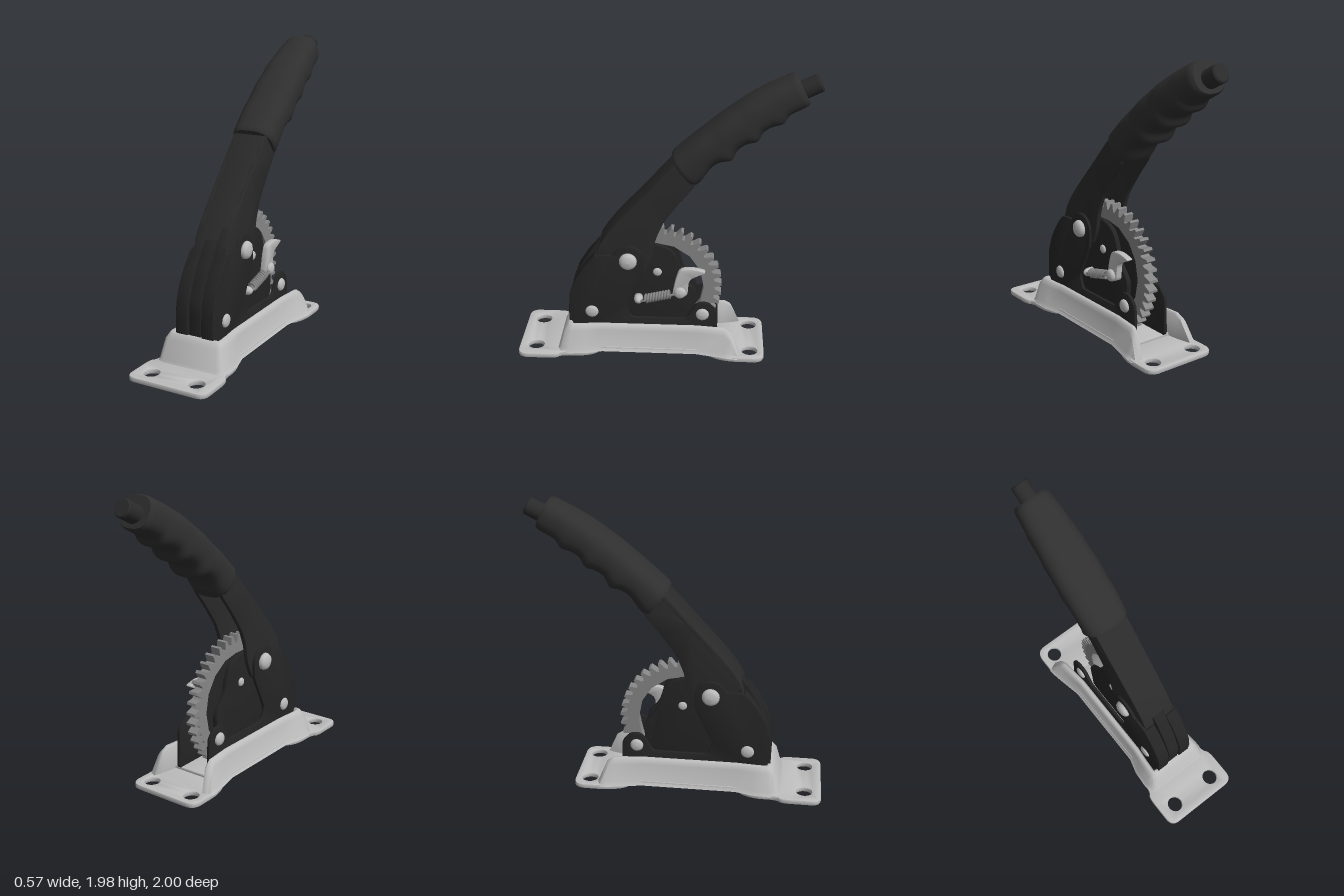
import * as THREE from 'three';
import { toCreasedNormals } from 'three/addons/utils/BufferGeometryUtils.js';

const mat = (name, color, side = THREE.FrontSide) => {
  const m = new THREE.MeshStandardMaterial({ color, side });
  m.name = name;
  return m;
};

// Closed outline with every corner rounded by up to r
function rounded(pts, r) {
  const s = new THREE.Shape(), n = pts.length;
  const toward = (a, b) => {
    const d = Math.hypot(b[0] - a[0], b[1] - a[1]), k = Math.min(r / d, 0.5);
    return [a[0] + (b[0] - a[0]) * k, a[1] + (b[1] - a[1]) * k];
  };
  pts.forEach((p, i) => {
    const a = toward(p, pts[(i + n - 1) % n]), b = toward(p, pts[(i + 1) % n]);
    if (i) s.lineTo(...a); else s.moveTo(...a);
    s.quadraticCurveTo(...p, ...b);
  });
  s.closePath();
  return s;
}

// Strip of even thickness on one side of an open path
function band(pts, t) {
  const inner = pts.map((p, i) => {
    const a = pts[Math.max(i - 1, 0)], b = pts[Math.min(i + 1, pts.length - 1)];
    const d = Math.hypot(b[0] - a[0], b[1] - a[1]);
    return [p[0] - (b[1] - a[1]) / d * t, p[1] + (b[0] - a[0]) / d * t];
  });
  return new THREE.Shape([...pts, ...inner.reverse()].map(p => new THREE.Vector2(...p)));
}

// Side profile drawn as (z, y), extruded from x0 to x1
function slab(shape, x0, x1, bevel = 0.005) {
  const g = new THREE.ExtrudeGeometry(shape, {
    depth: x1 - x0 - 2 * bevel, curveSegments: 8, bevelEnabled: bevel > 0,
    bevelSize: bevel, bevelOffset: -bevel, bevelThickness: bevel, bevelSegments: 2,
  });
  g.rotateY(-Math.PI / 2).translate(x1 - bevel, 0, 0);
  return toCreasedNormals(g, 0.6);
}

// Closed skin over rings of points, with fan caps; wound outward by its volume
function loft(rings, crease) {
  const n = rings[0].length, pos = rings.flat(), idx = [];
  for (let i = 0; i < rings.length - 1; i++) for (let j = 0; j < n; j++) {
    const a = i * n + j, b = i * n + (j + 1) % n;
    idx.push([a, b, a + n], [b, b + n, a + n]);
  }
  const last = (rings.length - 1) * n;
  for (let j = 1; j < n - 1; j++) idx.push([0, j + 1, j], [last, last + j, last + j + 1]);
  let volume = 0;
  for (const [a, b, c] of idx) volume += pos[a].dot(pos[b].clone().cross(pos[c]));
  const g = new THREE.BufferGeometry().setFromPoints(pos);
  g.setIndex((volume < 0 ? idx.map(t => [t[0], t[2], t[1]]) : idx).flat());
  return toCreasedNormals(g, crease);
}

export function createModel() {
  const root = new THREE.Group();
  root.name = 'handBrakeLever';
  const sheet = mat('zincSheet', 0xbdbdbd, THREE.DoubleSide);
  const rivet = mat('brightRivet', 0xbcbcbc);
  const steel = mat('gearSteel', 0x868686);
  const black = mat('blackBracket', 0x242424);
  const paint = mat('blackLever', 0x2a2a2a);
  const rubber = mat('blackRubber', 0x2f2f2f);
  const add = (name, g, m) => {
    const mesh = new THREE.Mesh(g, m);
    mesh.name = name;
    root.add(mesh);
    return mesh;
  };

  // Mounting flanges and tray floor
  function plate(name, pts, r, top, thick, holeZ) {
    const s = rounded(pts, r);
    if (holeZ !== undefined) for (const x of [-0.165, 0.165])
      s.holes.push(new THREE.Path().absellipse(x, holeZ, 0.05, 0.054, 0, Math.PI * 2));
    const g = new THREE.ExtrudeGeometry(s, {
      depth: thick - 0.016, bevelSize: 0.008, bevelOffset: -0.008,
      bevelThickness: 0.008, bevelSegments: 2, curveSegments: 12,
    });
    g.rotateX(Math.PI / 2).translate(0, top - 0.008, 0);
    add(name, toCreasedNormals(g, 0.7), sheet);
  }
  const mirror = half => [...half, ...half.map(([x, z]) => [-x, z]).reverse()];
  plate('frontFlange', mirror([[0.2, 0.43], [0.25, 0.54], [0.25, 0.7], [0.285, 0.73], [0.285, 1]]), 0.07, 0.035, 0.035, 0.885);
  plate('rearFlange', mirror([[0.265, -0.7], [0.265, -0.44], [0.21, -0.3]]), 0.08, 0.035, 0.035, -0.6);
  plate('trayFloor', mirror([[0.205, -0.36], [0.205, 0.5]]), 0.02, 0.055, 0.025);

  // Tray rim: a flared wall swept around a U that is open at the rear
  const half = [ // bottom x, bottom z, top x, top z, top y
    [0.255, -0.52, 0.24, -0.52, 0.04], [0.25, -0.475, 0.215, -0.46, 0.19], [0.24, -0.42, 0.205, -0.42, 0.22],
    [0.2, -0.23, 0.185, -0.23, 0.22], [0.2, 0.42, 0.185, 0.42, 0.22], [0.23, 0.53, 0.195, 0.53, 0.22],
    [0.238, 0.65, 0.2, 0.62, 0.22], [0.228, 0.7, 0.19, 0.65, 0.22], [0.2, 0.715, 0.165, 0.662, 0.22],
  ];
  const stations = [...half, ...half.map(([a, b, c, d, e]) => [-a, b, -c, d, e]).reverse()];
  add('trayWall', loft(stations.map(([bx, bz, tx, tz, ty], i) => {
    const p = stations[Math.max(i - 1, 0)], q = stations[Math.min(i + 1, stations.length - 1)];
    const dx = q[2] - p[2], dz = q[3] - p[3], d = Math.hypot(dx, dz);
    const nx = dz / d, nz = -dx / d; // outward
    const at = (k, out, y) => new THREE.Vector3(tx + (bx - tx) * k + nx * out, y, tz + (bz - tz) * k + nz * out);
    return [at(1, 0.018, 0.025), at(1, 0, 0.025 + ty * 0.12), at(0.35, 0, ty * 0.82), at(0, -0.003, ty * 0.95),
      at(0, -0.014, ty), at(0, -0.03, ty), at(0, -0.04, ty * 0.93), at(0.3, -0.04, 0.025)];
  }), 0.9), sheet);

  // Ratchet ring with slanted teeth
  const gear = new THREE.Shape(), teeth = 40;
  for (let i = 0; i < teeth; i++) [[0, 0.405], [0.25, 0.412], [0.55, 0.458], [0.8, 0.458]].forEach(([k, r], j) => {
    const a = (i + k) / teeth * Math.PI * 2;
    gear[i + j ? 'lineTo' : 'moveTo'](0.06 + Math.cos(a) * r, 0.455 + Math.sin(a) * r);
  });
  gear.closePath();
  gear.holes.push(new THREE.Path().absarc(0.06, 0.455, 0.335, 0, Math.PI * 2));
  add('ratchetRing', slab(gear, -0.035, 0.035, 0), steel);

  // Central cable guide between the brackets
  add('cableGuide', slab(rounded([[0.64, 0.05], [0.64, 0.42], [0.57, 0.6], [0.47, 0.76], [0.4, 0.83], [0.28, 0.76], [0.45, 0.5], [0.5, 0.05]], 0.05), -0.042, 0.042), black);

  // Dome-headed fastener pointing outward along x
  const stud = (name, side, z, y, r, x0, x1) => {
    const h = x1 - x0, p = [[0, 0], [r, 0], [r, h * 0.4], [r * 0.88, h * 0.7], [r * 0.55, h * 0.93], [0, h]];
    const g = new THREE.LatheGeometry(p.map(v => new THREE.Vector2(...v)), 20);
    g.rotateZ(-side * Math.PI / 2).translate(side * x0, y, z);
    add(name, g, rivet);
  };

  const leverFront = [[0.46, 0.7], [0.43, 0.8], [0.38, 0.88], [0.3, 0.98], [0.1, 1.2], [-0.05, 1.37], [-0.12, 1.43]];
  const bracketFront = [[0.645, 0.05], [0.65, 0.3], [0.64, 0.43], [0.6, 0.54], [0.53, 0.65], [0.46, 0.73]];
  const boss = [];
  for (let i = 0; i <= 8; i++) {
    const a = 0.3 + i / 8 * 3.0;
    boss.push([0.235 + Math.cos(a) * 0.11, 0.7 + Math.sin(a) * 0.11]);
  }
  for (const s of [-1, 1]) {
    const pair = (name, shape, x0, x1, m) => add(name, slab(shape, s > 0 ? x0 : -x1, s > 0 ? x1 : -x0), m);
    // Bracket cheek with its pivot boss and rear ear
    pair('bracketCheek', rounded([...bracketFront, [0.38, 0.74], ...boss, [0.13, 0.6], [0.25, 0.35], [0.22, 0.26],
      [-0.16, 0.26], [-0.2, 0.34], [-0.24, 0.39], [-0.31, 0.39], [-0.37, 0.33], [-0.38, 0.05]], 0.03), 0.115, 0.138, black);
    pair('bracketFrontFold', band(bracketFront, 0.035), 0.05, 0.135, black);
    // Recessed sector plate
    pair('sectorPlate', rounded([[0.45, 0.1], [0.45, 0.7], [0.2, 0.8], [0.02, 0.8], [-0.07, 0.75], [-0.11, 0.66],
      [-0.13, 0.56], [-0.23, 0.44], [-0.2, 0.1]], 0.05), 0.05, 0.085, black);
    // Lever cheek
    pair('leverCheek', rounded([...leverFront, [-0.22, 1.27], [-0.1, 1.12], [0, 0.98], [0.05, 0.86], [0.075, 0.72],
      [0.13, 0.6], [0.24, 0.56], [0.4, 0.62]], 0.04), 0.09, 0.12, paint);
    pair('leverFork', band(leverFront.slice(0, 3), 0.03), 0.045, 0.12, paint);
    stud('pivotRivet', s, 0.235, 0.7, 0.06, 0.13, 0.178);
    stud('frontRivet', s, 0.49, 0.3, 0.045, 0.13, 0.158);
    stud('rearRivet', s, -0.27, 0.3, 0.045, 0.13, 0.162);
    stud('sectorRivet', s, 0.04, 0.595, 0.03, 0.08, 0.1);
  }
  add('leverWeb', slab(band(leverFront.slice(1), 0.035), -0.12, 0.12, 0.01), paint);
  const pin = new THREE.CylinderGeometry(0.04, 0.04, 0.26, 16).rotateZ(Math.PI / 2);
  add('pivotPin', pin.translate(0, 0.7, 0.235), rivet);

  // Pawl, spring and spring pins on the left side
  add('pawl', slab(rounded([[-0.06, 0.43], [-0.085, 0.56], [-0.11, 0.635], [-0.2, 0.645], [-0.3, 0.62], [-0.23, 0.59],
    [-0.175, 0.56], [-0.165, 0.43]], 0.035), 0.085, 0.13), rivet);
  stud('pawlPin', 1, -0.115, 0.465, 0.042, 0.125, 0.16);
  stud('springPin', 1, 0.17, 0.395, 0.03, 0.085, 0.155);
  const coil = [], turns = 9;
  for (let i = 0; i <= turns * 10; i++) {
    const t = i / (turns * 10), a = t * turns * Math.PI * 2;
    coil.push(new THREE.Vector3(0.125 + Math.cos(a) * 0.026, 0.403 + t * 0.044 + Math.sin(a) * 0.026, 0.125 - t * 0.175));
  }
  coil.unshift(new THREE.Vector3(0.135, 0.395, 0.17));
  coil.push(new THREE.Vector3(0.135, 0.465, -0.11));
  add('returnSpring', new THREE.TubeGeometry(new THREE.CatmullRomCurve3(coil), 220, 0.009, 6), steel);

  // Rubber grip with finger scallops on its lower edge
  const curve = pts => new THREE.CatmullRomCurve3(pts.map(([z, y]) => new THREE.Vector3(0, y, z)));
  const upper = curve([[-0.045, 1.43], [-0.18, 1.55], [-0.4, 1.735], [-0.6, 1.875], [-0.82, 1.99]]);
  const lower = curve([[-0.21, 1.23], [-0.25, 1.27], [-0.32, 1.37], [-0.38, 1.405], [-0.44, 1.415], [-0.48, 1.49], [-0.54, 1.53],
    [-0.6, 1.545], [-0.635, 1.61], [-0.69, 1.645], [-0.755, 1.665], [-0.79, 1.72], [-0.85, 1.755], [-0.92, 1.79]]);
  const rings = [], steps = 56;
  const ring = (t, k) => {
    const u = upper.getPointAt(t), l = lower.getPointAt(t), c = u.clone().add(l).multiplyScalar(0.5);
    const up = u.sub(l).multiplyScalar(0.5 * k), w = (0.152 + 0.012 * Math.sin(t * 3) - 0.032 * t * t) * k, out = [];
    for (let j = 0; j < 32; j++) {
      const a = j / 32 * Math.PI * 2, sq = v => Math.sign(v) * Math.abs(v) ** 0.78;
      out.push(c.clone().addScaledVector(up, sq(Math.sin(a))).add(new THREE.Vector3(sq(Math.cos(a)) * w, 0, 0)));
    }
    return out;
  };
  rings.push(ring(0, 0.94));
  for (let i = 1; i < steps; i++) rings.push(ring(i / steps, i === steps - 1 ? 0.98 : 1));
  rings.push(ring(1, 0.9));
  add('grip', loft(rings, 0.8), rubber);

  // Release button at the end of the grip
  const button = new THREE.LatheGeometry([[0, -0.06], [0.06, -0.06], [0.06, 0.088], [0.052, 0.097], [0, 0.097]]
    .map(p => new THREE.Vector2(...p)), 24);
  const knob = add('releaseButton', toCreasedNormals(button, 0.6), paint);
  knob.position.set(0, 1.885, -0.89);
  knob.rotation.x = -Math.PI / 2 + Math.atan2(0.45, 0.89);
  return root;
}
